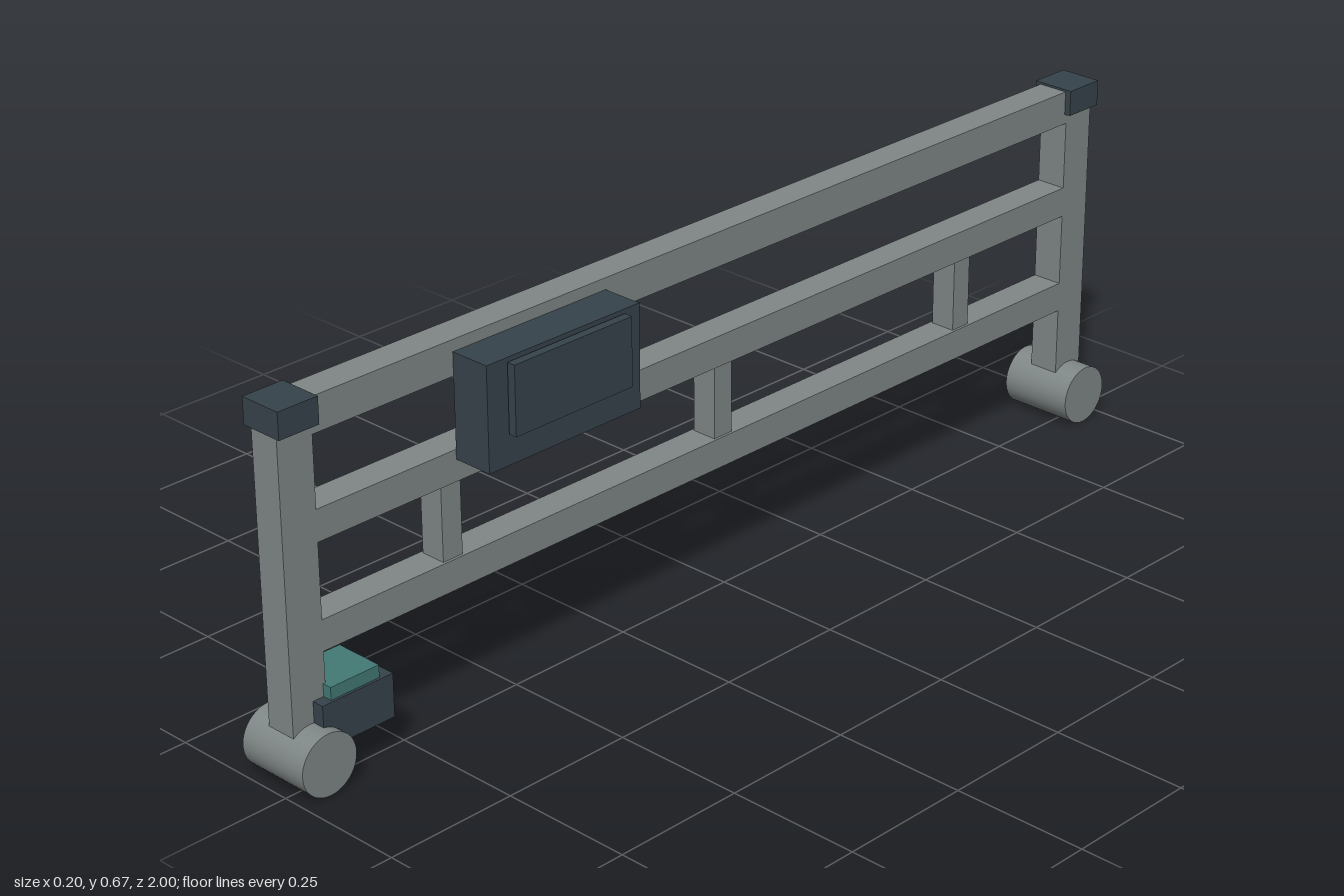
import * as THREE from 'three';

export function createModel() {
  const model = new THREE.Group();
  model.name = 'rollingGate';
  const material = (name, color) => {
    const m = new THREE.MeshStandardMaterial({ color });
    m.name = name;
    return m;
  };
  const steel = material('steel grey', 0x7f8786);
  const dark = material('dark slate', 0x36434a);
  const teal = material('teal', 0x437a74);

  // Box given by its lower and upper limits on each axis
  const box = (name, mat, [x0, x1], [y0, y1], [z0, z1]) => {
    const mesh = new THREE.Mesh(new THREE.BoxGeometry(x1 - x0, y1 - y0, z1 - z0), mat);
    mesh.position.set((x0 + x1) / 2, (y0 + y1) / 2, (z0 + z1) / 2);
    mesh.name = name;
    model.add(mesh);
  };
  const frameX = [-0.057, 0.002];
  const postZ = 0.944;

  // End posts with caps and rollers
  for (const side of [1, -1]) {
    const end = side > 0 ? 'front' : 'back';
    const z = side * postZ;
    box(end + 'Post', steel, frameX, [0.1, 0.64], [z - 0.035, z + 0.035]);
    box(end + 'Cap', dark, [-0.068, 0.014], [0.625, 0.673], [z - 0.04, z + 0.04]);

    const roller = new THREE.Mesh(new THREE.CylinderGeometry(0.056, 0.056, 0.145, 40), steel);
    roller.rotation.z = Math.PI / 2;
    roller.position.set(-0.0275, 0.056, z);
    roller.name = end + 'Roller';
    model.add(roller);
  }

  // Horizontal rails
  const rails = { topRail: [0.606, 0.669], middleRail: [0.421, 0.478], lowerRail: [0.229, 0.285] };
  for (const [name, y] of Object.entries(rails)) box(name, steel, frameX, y, [-0.909, 0.909]);

  // Short uprights between the two lower rails
  for (const z of [-0.628, 0, 0.628]) {
    box('upright', steel, [-0.052, -0.003], [0.285, 0.421], [z - 0.021, z + 0.021]);
  }

  // Control box and its cover panel
  box('controlBox', dark, [0.002, 0.079], [0.46, 0.648], [0.281, 0.618]);
  box('controlPanel', dark, [0.083, 0.099], [0.517, 0.642], [0.318, 0.577]);

  // Drive unit beside the front roller
  box('driveHousing', dark, [-0.079, 0.025], [0.07, 0.15], [0.789, 0.936]);
  box('driveLid', teal, [-0.075, 0.02], [0.15, 0.173], [0.813, 0.914]);

  return model;
}
